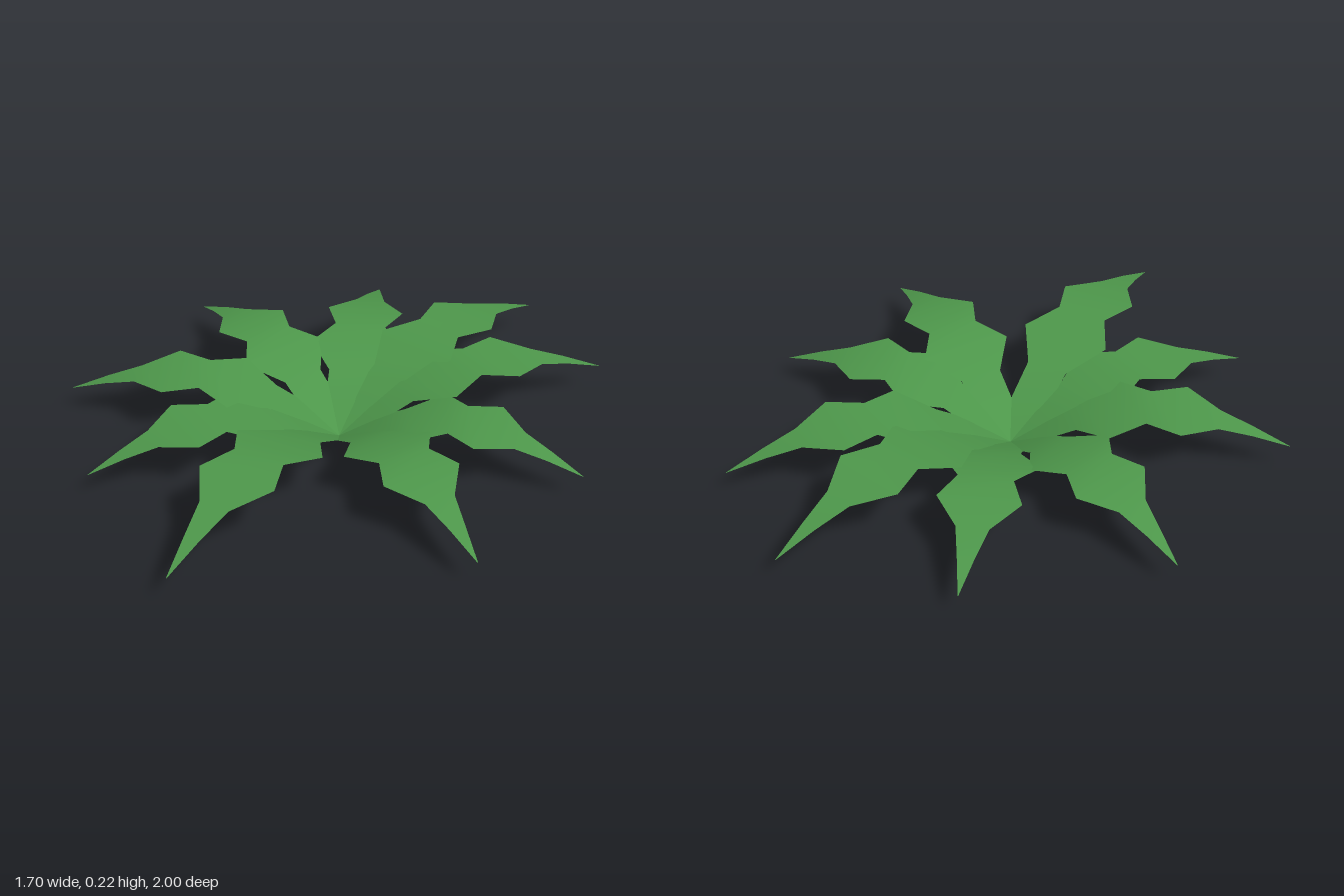
import * as THREE from 'three';

const CENTER_Z = -0.025;

// Leaf cross-sections: [distance along, height, half width]; the first two scale with leaf length
const SECTIONS = [
  [0, 0, 0.003], [0.126, 0.078, 0.068], [0.247, 0.144, 0.073],
  [0.375, 0.192, 0.157], [0.495, 0.216, 0.089], [0.62, 0.215, 0.134],
  [0.745, 0.192, 0.052], [0.865, 0.155, 0.027], [1, 0.104, 0.001],
];

// Leaf tips on the ground plan: [x, z]
const TIPS = [
  [0.06, 1.0], [0.78, 0.43], [0.85, -0.14], [0.61, -0.76], [0.21, -1.0],
  [-0.33, -0.82], [-0.81, -0.355], [-0.85, 0.345], [-0.48, 0.71],
];

// Arched, jagged blade growing along +z
function leafGeometry(length) {
  const positions = [];
  const indices = [];
  SECTIONS.forEach(([along, height, half], i) => {
    const y = height * length;
    const z = along * length;
    positions.push(-half, y, z, half, y, z);
    if (i > 0) {
      const a = 2 * i - 2;
      indices.push(a, a + 2, a + 1, a + 1, a + 2, a + 3);
    }
  });
  const geometry = new THREE.BufferGeometry();
  geometry.setAttribute('position', new THREE.Float32BufferAttribute(positions, 3));
  geometry.setIndex(indices);
  geometry.computeVertexNormals();
  return geometry;
}

export function createModel() {
  const plant = new THREE.Group();
  plant.name = 'plant';
  const leafGreen = new THREE.MeshStandardMaterial({ color: 0x4d964a, side: THREE.DoubleSide });
  leafGreen.name = 'leafGreen';

  // Rosette of leaves meeting at one point on the ground
  TIPS.forEach(([x, z], i) => {
    const dz = z - CENTER_Z;
    const leaf = new THREE.Mesh(leafGeometry(Math.hypot(x, dz)), leafGreen);
    leaf.name = `leaf${i + 1}`;
    leaf.position.z = CENTER_Z;
    leaf.rotation.y = Math.atan2(x, dz);
    plant.add(leaf);
  });
  return plant;
}
